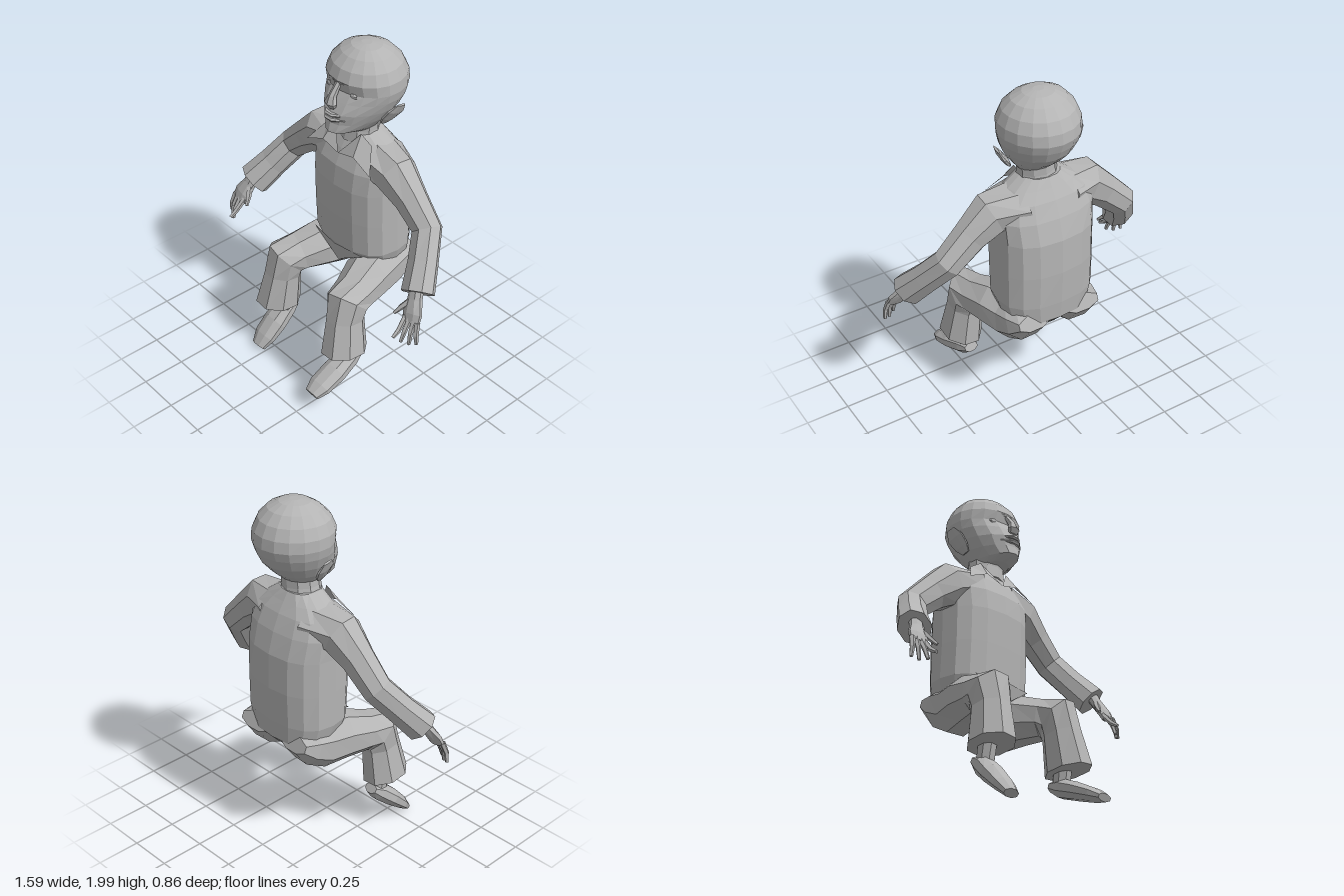
import * as THREE from 'three';

const V = (x, y, z) => new THREE.Vector3(x, y, z);

// Faceted skin over rings of points; rings run counterclockwise seen from the last one
function loft(rings) {
  const pos = [], n = rings[0].length;
  const tri = (...pts) => pts.forEach(p => pos.push(p.x, p.y, p.z));
  const middle = r => r.reduce((m, p) => m.add(p), V(0, 0, 0)).divideScalar(n);
  const first = rings[0], last = rings[rings.length - 1];
  const c0 = middle(first), c1 = middle(last);
  for (let i = 0; i < n; i++) {
    const k = (i + 1) % n;
    for (let j = 0; j < rings.length - 1; j++) {
      const A = rings[j], B = rings[j + 1];
      tri(A[i], A[k], B[k]);
      tri(A[i], B[k], B[i]);
    }
    tri(c0, first[k], first[i]);
    tri(c1, last[i], last[k]);
  }
  const g = new THREE.BufferGeometry();
  g.setAttribute('position', new THREE.Float32BufferAttribute(pos, 3));
  g.computeVertexNormals();
  return g;
}

// Tapered limb along [x, y, z, radius along side, radius across]
function limb(path, n = 8, side = V(1, 0, 0)) {
  const c = path.map(p => V(p[0], p[1], p[2]));
  return loft(path.map((p, j) => {
    const t = V(0, 0, 0);
    if (j > 0) t.add(c[j].clone().sub(c[j - 1]).normalize());
    if (j < c.length - 1) t.add(c[j + 1].clone().sub(c[j]).normalize());
    t.normalize();
    const u = side.clone().addScaledVector(t, -side.dot(t)).normalize();
    const v = t.clone().cross(u);
    return Array.from({ length: n }, (_, i) => {
      const a = (i + 0.5) / n * Math.PI * 2;
      return c[j].clone().addScaledVector(u, p[3] * Math.cos(a)).addScaledVector(v, p[4] * Math.sin(a));
    });
  }));
}

// Level rings [y, half width, z of widest point, front z, back z, front power], bottom to top
function stack(rows, n, cx, power) {
  const pw = (v, p) => Math.sign(v) * Math.abs(v) ** p;
  return loft(rows.map(([y, w, zc, zf, zb, pf = power]) =>
    Array.from({ length: n }, (_, i) => {
      const a = i / n * Math.PI * 2, c = Math.cos(a);
      const z = c > 0 ? zc + (zf - zc) * pw(c, pf) : zc + (zc - zb) * pw(c, power);
      return V(cx + w * pw(Math.sin(a), power), y, z);
    })));
}

export function createModel() {
  const model = new THREE.Group();
  const grey = new THREE.MeshStandardMaterial({ color: 0xb4b4b4 });
  grey.name = 'plain grey';
  const add = (name, geo, mat = grey) => {
    const m = new THREE.Mesh(geo, mat);
    m.name = name;
    model.add(m);
    return m;
  };
  const thin = new THREE.MeshStandardMaterial({ color: 0xb4b4b4, side: THREE.DoubleSide });
  thin.name = 'cloth grey';

  // Shirt, from the seat to the neck
  add('torso', stack([
    [0.635, 0.16, -0.25, -0.13, -0.36],
    [0.69, 0.25, -0.24, -0.06, -0.412],
    [0.80, 0.28, -0.22, -0.01, -0.422],
    [1.00, 0.28, -0.21, 0.0, -0.428],
    [1.20, 0.28, -0.21, 0.005, -0.42],
    [1.32, 0.285, -0.21, -0.01, -0.385],
    [1.41, 0.26, -0.20, -0.05, -0.345],
    [1.465, 0.19, -0.19, -0.08, -0.31],
    [1.515, 0.11, -0.18, -0.095, -0.28],
  ], 16, 0, 0.8));
  add('neck', limb([[0.005, 1.46, -0.175, 0.12, 0.11], [0.01, 1.53, -0.175, 0.108, 0.10],
    [0.015, 1.6, -0.175, 0.105, 0.10]], 10));

  // Pointed hem of the shirt front
  const hem = new THREE.BufferGeometry().setFromPoints([
    V(-0.2, 0.8, -0.03), V(0, 0.67, -0.03), V(0, 0.8, 0), V(0, 0.8, 0), V(0, 0.67, -0.03), V(0.2, 0.8, -0.03)]);
  hem.computeVertexNormals();
  add('shirtHem', hem, thin);

  // Head, tapering to a pointed face and jaw
  add('head', stack([
    [1.545, 0.09, -0.17, -0.02, -0.24],
    [1.57, 0.11, -0.17, 0.058, -0.27, 1.0],
    [1.62, 0.15, -0.18, 0.045, -0.33, 1.05],
    [1.68, 0.185, -0.19, 0.045, -0.385, 1.15],
    [1.74, 0.21, -0.2, 0.015, -0.415, 1.1],
    [1.79, 0.221, -0.2, -0.015, -0.432],
    [1.85, 0.218, -0.2, 0.0, -0.425],
    [1.91, 0.192, -0.2, -0.025, -0.395],
    [1.96, 0.145, -0.2, -0.075, -0.345],
    [1.99, 0.085, -0.2, -0.125, -0.285],
    [2.0, 0.03, -0.2, -0.18, -0.23],
  ], 18, 0.02, 1));
  add('nose', limb([
    [0.02, 1.84, -0.015, 0.018, 0.012], [0.02, 1.77, 0.03, 0.022, 0.022],
    [0.02, 1.735, 0.043, 0.04, 0.025], [0.02, 1.71, 0.035, 0.028, 0.015]], 6));
  for (const [name, y, r] of [['upperLip', 1.675, 0.011], ['lowerLip', 1.648, 0.013]])
    add(name, limb([[-0.055, y, 0.01, r / 2, r / 2], [0.0, y, 0.047, r, 0.016],
      [0.04, y, 0.047, r, 0.016], [0.095, y, 0.01, r / 2, r / 2]], 6, V(0, 1, 0)));

  for (const s of [1, -1]) {
    const label = s > 0 ? 'left' : 'right';
    const mirrored = path => path.map(([x, ...rest]) => [x * s, ...rest]);

    // Brow, eyelid and ear
    add(label + 'Brow', limb([
      [0.02 + s * 0.02, 1.84, -0.012, 0.012, 0.01], [0.02 + s * 0.08, 1.845, -0.028, 0.012, 0.01],
      [0.02 + s * 0.14, 1.84, -0.062, 0.01, 0.008]], 6, V(0, 1, 0)));
    const lid = add(label + 'Eyelid', new THREE.SphereGeometry(1, 8, 5).toNonIndexed());
    lid.geometry.scale(0.038, 0.016, 0.012);
    lid.geometry.computeVertexNormals();
    lid.position.set(0.02 + s * 0.08, 1.785, -0.035);
    add(label + 'Ear', limb([
      [0.02 + s * 0.16, 1.605, -0.18, 0.01, 0.025], [0.02 + s * 0.185, 1.64, -0.19, 0.016, 0.048],
      [0.02 + s * 0.222, 1.69, -0.205, 0.015, 0.057], [0.02 + s * 0.25, 1.735, -0.215, 0.006, 0.03]], 8));

    // Collar flap
    const flap = [V(s * 0.10, 1.525, -0.10), V(0, 1.39, -0.025), V(s * 0.12, 1.42, -0.025),
      V(s * 0.25, 1.36, -0.025), V(s * 0.17, 1.48, -0.11)];
    const collar = new THREE.BufferGeometry().setFromPoints(
      [0, 1, 2, 0, 2, 4, 2, 3, 4].map(i => flap[i]));
    collar.computeVertexNormals();
    add(label + 'Collar', collar, thin);

    // Sleeve blending into the shoulder, with a wide cuff
    add(label + 'Sleeve', limb(mirrored([
      [0.12, 1.37, -0.2, 0.11, 0.16], [0.29, 1.335, -0.175, 0.128, 0.118],
      [0.41, 1.24, -0.175, 0.10, 0.09], [0.54, 1.12, -0.17, 0.088, 0.082],
      [0.615, 0.995, -0.075, 0.09, 0.08], [0.68, 0.88, 0.02, 0.10, 0.088]]), 8, V(s, 0.9, 0)));

    // Hand with four fingers and a thumb
    add(label + 'Palm', limb(mirrored([
      [0.675, 0.92, 0.02, 0.04, 0.032], [0.69, 0.86, 0.05, 0.045, 0.028],
      [0.712, 0.80, 0.085, 0.062, 0.025], [0.722, 0.755, 0.105, 0.056, 0.018]]), 8));
    const fingers = [[0.68, 0.69, 0.685, 0.2], [0.71, 0.712, 0.65, 0.165],
      [0.738, 0.748, 0.642, 0.14], [0.764, 0.784, 0.655, 0.12]];
    fingers.forEach(([bx, tx, ty, tz], i) => add(label + 'Finger' + (i + 1), limb(mirrored([
      [bx, 0.775, 0.1, 0.016, 0.016], [(bx + tx) / 2 + 0.004, 0.71, 0.06 + tz / 2, 0.014, 0.014],
      [tx, ty, tz, 0.01, 0.01]]), 5)));
    add(label + 'Thumb', limb(mirrored([
      [0.68, 0.86, 0.055, 0.02, 0.018], [0.645, 0.81, 0.095, 0.017, 0.015],
      [0.622, 0.77, 0.13, 0.009, 0.009]]), 5));

    // Trouser leg from the buttock, bent at the knee and flared at the hem
    add(label + 'TrouserLeg', limb(mirrored([
      [0.15, 0.71, -0.395, 0.11, 0.05], [0.155, 0.675, -0.31, 0.135, 0.115],
      [0.165, 0.645, -0.2, 0.14, 0.148], [0.2, 0.65, -0.07, 0.14, 0.138],
      [0.24, 0.63, 0.06, 0.12, 0.112], [0.26, 0.615, 0.135, 0.115, 0.135],
      [0.268, 0.52, 0.155, 0.10, 0.115], [0.288, 0.315, 0.18, 0.118, 0.14]]), 8));

    // Ankle and shoe; the right foot points further down
    add(label + 'Ankle', limb(mirrored([
      [0.28, 0.36, 0.15, 0.05, 0.055], [0.282, 0.23, 0.13, 0.048, 0.05]]), 8));
    add(label + 'Shoe', limb(mirrored(s > 0
      ? [[0.28, 0.25, 0.075, 0.045, 0.03], [0.285, 0.23, 0.14, 0.062, 0.055],
        [0.29, 0.19, 0.25, 0.078, 0.05], [0.29, 0.145, 0.36, 0.074, 0.038], [0.29, 0.118, 0.42, 0.05, 0.022]]
      : [[0.28, 0.25, 0.075, 0.045, 0.03], [0.285, 0.215, 0.125, 0.062, 0.055],
        [0.295, 0.15, 0.2, 0.08, 0.053], [0.3, 0.075, 0.28, 0.076, 0.04], [0.3, 0.022, 0.33, 0.05, 0.026]]), 8));
  }
  return model;
}
